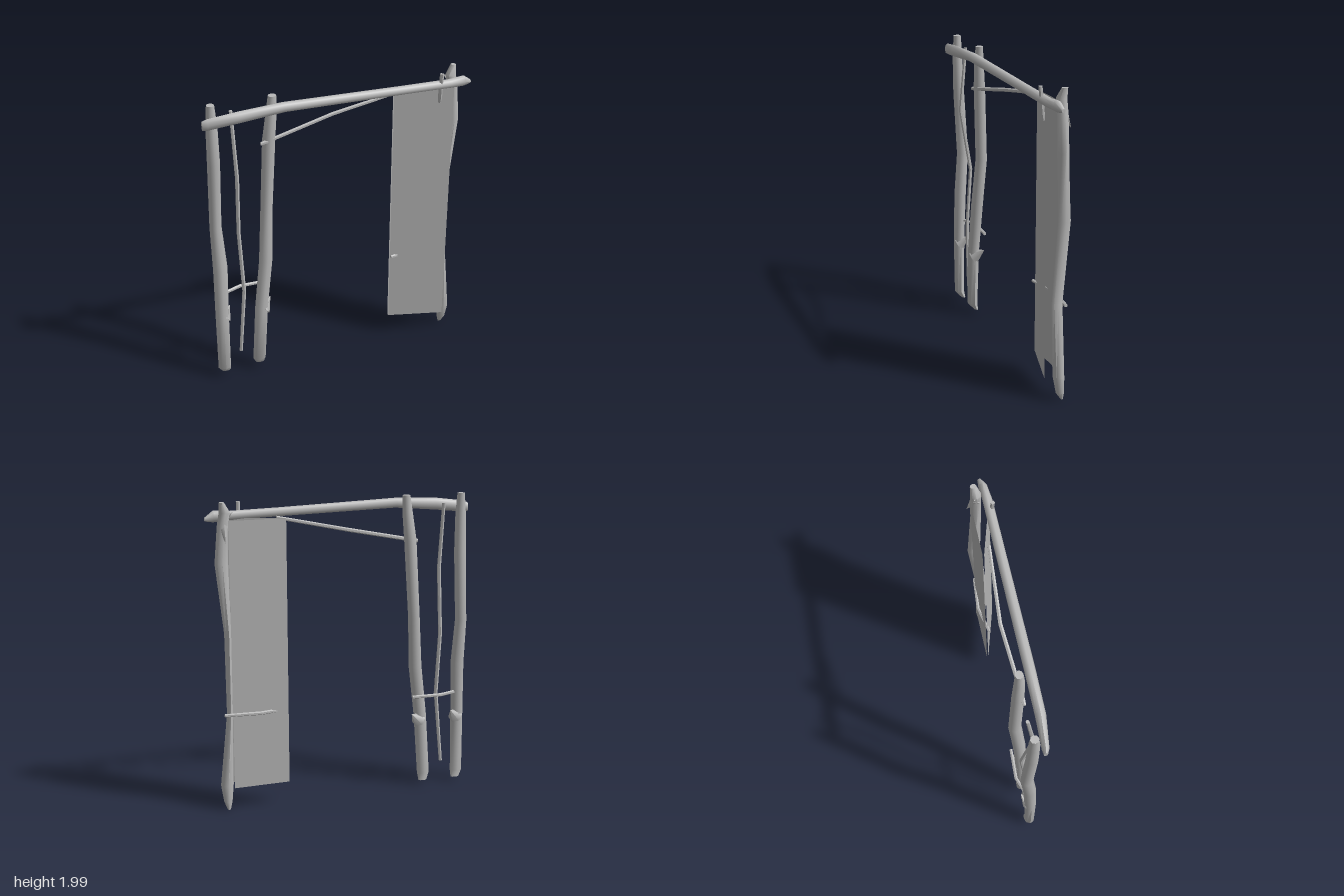
import * as THREE from 'three';
import { toCreasedNormals } from 'three/addons/utils/BufferGeometryUtils.js';

const wood = new THREE.MeshStandardMaterial({ color: 0xb8b8b8 });
wood.name = 'weathered grey wood';
const cloth = new THREE.MeshStandardMaterial({ color: 0xb4b4b4, side: THREE.DoubleSide });
cloth.name = 'grey hide';

// Crooked limb through sections [x, y, z, ru, rv], listed in rising order along its axis.
// Rings lie across that axis: for 'y' (ru along z, rv along x), for 'x' (ru along y, rv along z).
function limb(name, axis, sections, sides = 8) {
  const first = sections[0], last = sections[sections.length - 1];
  const rows = [[...first.slice(0, 3), 0, 0], ...sections, [...last.slice(0, 3), 0, 0]];
  const pos = [], idx = [];
  for (const [x, y, z, ru, rv = ru] of rows) {
    for (let j = 0; j < sides; j++) {
      const a = (j / sides) * Math.PI * 2;
      const u = Math.cos(a) * ru, v = Math.sin(a) * rv;
      if (axis === 'y') pos.push(x + v, y, z + u);
      else pos.push(x, y + u, z + v);
    }
  }
  for (let i = 0; i < rows.length - 1; i++) {
    for (let j = 0; j < sides; j++) {
      const k = (j + 1) % sides;
      const a = i * sides + j, b = i * sides + k, c = b + sides, d = a + sides;
      if (i > 0) idx.push(a, b, c);
      else idx.push(a, c, d);
      if (i > 0 && i < rows.length - 2) idx.push(a, c, d);
    }
  }
  const geo = new THREE.BufferGeometry();
  geo.setAttribute('position', new THREE.Float32BufferAttribute(pos, 3));
  geo.setIndex(idx);
  const mesh = new THREE.Mesh(toCreasedNormals(geo, 0.9), wood);
  mesh.name = name;
  return mesh;
}

// Short broken branch stub pointing from one place to another
function stub(name, from, to, radius) {
  const a = new THREE.Vector3(...from), b = new THREE.Vector3(...to);
  const dir = b.clone().sub(a);
  const mesh = new THREE.Mesh(new THREE.ConeGeometry(radius, dir.length(), 6), wood);
  mesh.position.copy(a).add(b).multiplyScalar(0.5);
  mesh.quaternion.setFromUnitVectors(new THREE.Vector3(0, 1, 0), dir.normalize());
  mesh.name = name;
  return mesh;
}

// Flat upright sheet between two points in plan
function sheet(name, [x0, z0], [x1, z1], y0, y1) {
  const mesh = new THREE.Mesh(new THREE.PlaneGeometry(Math.hypot(x1 - x0, z1 - z0), y1 - y0), cloth);
  mesh.position.set((x0 + x1) / 2, (y0 + y1) / 2, (z0 + z1) / 2);
  mesh.rotation.y = -Math.atan2(z1 - z0, x1 - x0);
  mesh.name = name;
  return mesh;
}

export function createModel() {
  const model = new THREE.Group();
  model.name = 'woodenFrame';

  // Three upright posts
  model.add(limb('outerPost', 'y', [
    [-0.81, 0.035, -0.03, 0.015, 0.03], [-0.825, 0.08, -0.01, 0.035, 0.043],
    [-0.82, 0.5, -0.01, 0.04, 0.045], [-0.81, 0.85, -0.02, 0.042, 0.048],
    [-0.817, 1.15, -0.045, 0.042, 0.039], [-0.81, 1.6, -0.02, 0.04, 0.041],
    [-0.81, 1.85, -0.015, 0.036, 0.037], [-0.81, 1.99, -0.015, 0.026, 0.025],
  ]));
  model.add(limb('innerPost', 'y', [
    [-0.57, 0.04, -0.03, 0.015, 0.03], [-0.58, 0.09, -0.01, 0.036, 0.044],
    [-0.55, 0.5, -0.01, 0.04, 0.045], [-0.505, 0.85, -0.02, 0.042, 0.046],
    [-0.48, 1.2, -0.045, 0.042, 0.041], [-0.455, 1.7, -0.025, 0.04, 0.043],
    [-0.437, 1.88, -0.015, 0.034, 0.036], [-0.428, 1.99, -0.015, 0.025, 0.027],
  ]));
  model.add(limb('doorPost', 'y', [
    [0.785, 0.008, -0.035, 0.008, 0.01], [0.787, 0.06, -0.02, 0.028, 0.028],
    [0.788, 0.17, -0.008, 0.037, 0.042], [0.758, 0.65, -0.005, 0.037, 0.019],
    [0.767, 1.18, -0.04, 0.042, 0.022], [0.788, 1.62, -0.012, 0.034, 0.043],
    [0.775, 1.85, -0.01, 0.035, 0.035], [0.76, 1.93, -0.01, 0.033, 0.036],
    [0.78, 1.995, -0.02, 0.02, 0.016],
  ]));

  // Branch stubs on the posts
  model.add(stub('outerPostStub', [-0.81, 0.47, -0.015], [-0.752, 0.53, -0.06], 0.05));
  model.add(stub('innerPostStub', [-0.54, 0.47, -0.015], [-0.47, 0.53, -0.06], 0.05));
  model.add(stub('doorPostStub', [0.77, 1.86, -0.01], [0.77, 1.75, -0.07], 0.035));
  model.add(stub('doorPostSpike', [0.775, 1.88, -0.01], [0.715, 1.935, -0.03], 0.03));

  // Crossbeam lashed in front of the posts
  model.add(limb('crossbeam', 'x', [
    [-0.88, 1.89, 0.035, 0.03, 0.012], [-0.85, 1.895, 0.04, 0.037, 0.022],
    [-0.66, 1.917, 0.055, 0.039, 0.032], [-0.38, 1.935, 0.055, 0.032, 0.033],
    [0.4, 1.912, 0.053, 0.028, 0.031], [0.72, 1.903, 0.053, 0.029, 0.03],
    [0.82, 1.903, 0.045, 0.036, 0.027], [0.875, 1.888, 0.035, 0.012, 0.012],
  ]));

  // Thin crooked stick hanging between the two paired posts
  model.add(limb('hangingStick', 'y', [
    [-0.70, 0.165, -0.03, 0.011], [-0.663, 0.65, -0.01, 0.013], [-0.67, 1.07, -0.045, 0.013],
    [-0.68, 1.5, 0.02, 0.013], [-0.685, 1.93, -0.025, 0.011],
  ], 6));

  // Small rungs behind the posts
  model.add(limb('pairedPostRung', 'x', [
    [-0.8, 0.65, -0.03, 0.012], [-0.67, 0.65, -0.075, 0.012], [-0.47, 0.65, -0.065, 0.011],
  ], 6));
  model.add(limb('doorRung', 'x', [
    [0.385, 0.65, -0.025, 0.011], [0.435, 0.648, -0.035, 0.012],
    [0.57, 0.65, -0.065, 0.012], [0.8, 0.65, -0.045, 0.011],
  ], 6));

  // Diagonal brace
  model.add(limb('diagonalBrace', 'x', [
    [-0.515, 1.69, 0, 0.012], [-0.48, 1.697, 0, 0.013], [-0.03, 1.79, -0.035, 0.013],
    [0.43, 1.885, 0, 0.011],
  ], 6));

  // Peg over the beam
  model.add(limb('peg', 'y', [
    [0.658, 1.78, 0.05, 0.007], [0.657, 1.81, 0.055, 0.013], [0.655, 1.985, 0.072, 0.013],
  ], 6));

  // Hide hung as a narrow wedge: slanted front sheet and flat back sheet
  model.add(sheet('frontHide', [0.385, -0.04], [0.748, 0.068], 0.155, 1.885));
  model.add(sheet('backHide', [0.382, -0.05], [0.748, -0.05], 0.155, 1.885));
  return model;
}
